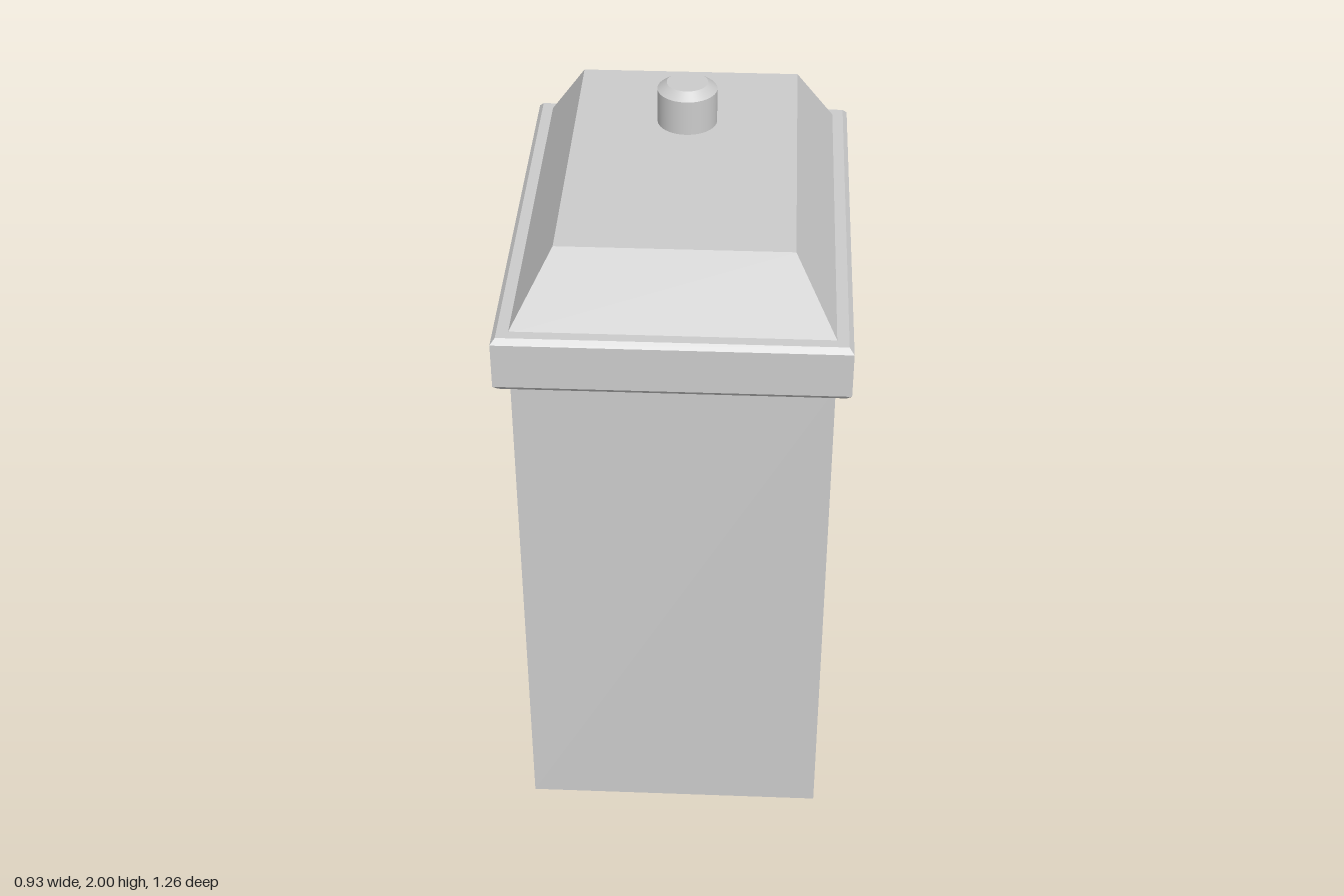
import * as THREE from 'three';

const material = new THREE.MeshStandardMaterial({ color: 0xcccccc, flatShading: true });
const smooth = new THREE.MeshStandardMaterial({ color: 0xcccccc });

// Closed block lofted through rectangular sections [y, halfWidth, halfDepth], bottom to top
function rectLoft(name, sections) {
  const rings = sections.map(([y, w, d]) => [[w, y, d], [w, y, -d], [-w, y, -d], [-w, y, d]]);
  const pos = [];
  const quad = (a, b, c, d) => pos.push(...a, ...b, ...c, ...a, ...c, ...d);
  for (let r = 0; r < rings.length - 1; r++) {
    const lo = rings[r], hi = rings[r + 1];
    for (let i = 0; i < 4; i++) {
      const j = (i + 1) % 4;
      quad(lo[i], lo[j], hi[j], hi[i]);
    }
  }
  const [b, t] = [rings[0], rings[rings.length - 1]];
  quad(b[3], b[2], b[1], b[0]);
  quad(t[0], t[1], t[2], t[3]);
  const geometry = new THREE.BufferGeometry();
  geometry.setAttribute('position', new THREE.Float32BufferAttribute(pos, 3));
  geometry.computeVertexNormals();
  const mesh = new THREE.Mesh(geometry, material);
  mesh.name = name;
  return mesh;
}

// Upright round section between two heights
function round(name, rTop, rBottom, y0, y1, open) {
  const mesh = new THREE.Mesh(new THREE.CylinderGeometry(rTop, rBottom, y1 - y0, 48, 1, open), smooth);
  mesh.position.y = (y0 + y1) / 2;
  mesh.name = name;
  return mesh;
}

export function createModel() {
  const model = new THREE.Group();
  model.name = 'canister';

  // Tall plain body
  model.add(rectLoft('body', [[0, 0.422, 0.592], [1.54, 0.422, 0.592]]));

  // Overhanging lid rim with small bevels
  model.add(rectLoft('lidRim', [
    [1.53, 0.45, 0.619], [1.545, 0.463, 0.632],
    [1.675, 0.463, 0.632], [1.69, 0.45, 0.619],
  ]));

  // Sloped lid
  model.add(rectLoft('lidTop', [[1.685, 0.422, 0.592], [1.88, 0.309, 0.478]]));

  // Off-centre knob with a chamfered top
  const knob = new THREE.Group();
  knob.name = 'knob';
  knob.position.set(0.003, 0, -0.191);
  knob.add(round('knobStem', 0.083, 0.083, 1.875, 1.98, true));
  knob.add(round('knobChamfer', 0.057, 0.083, 1.98, 2, false));
  model.add(knob);

  return model;
}
